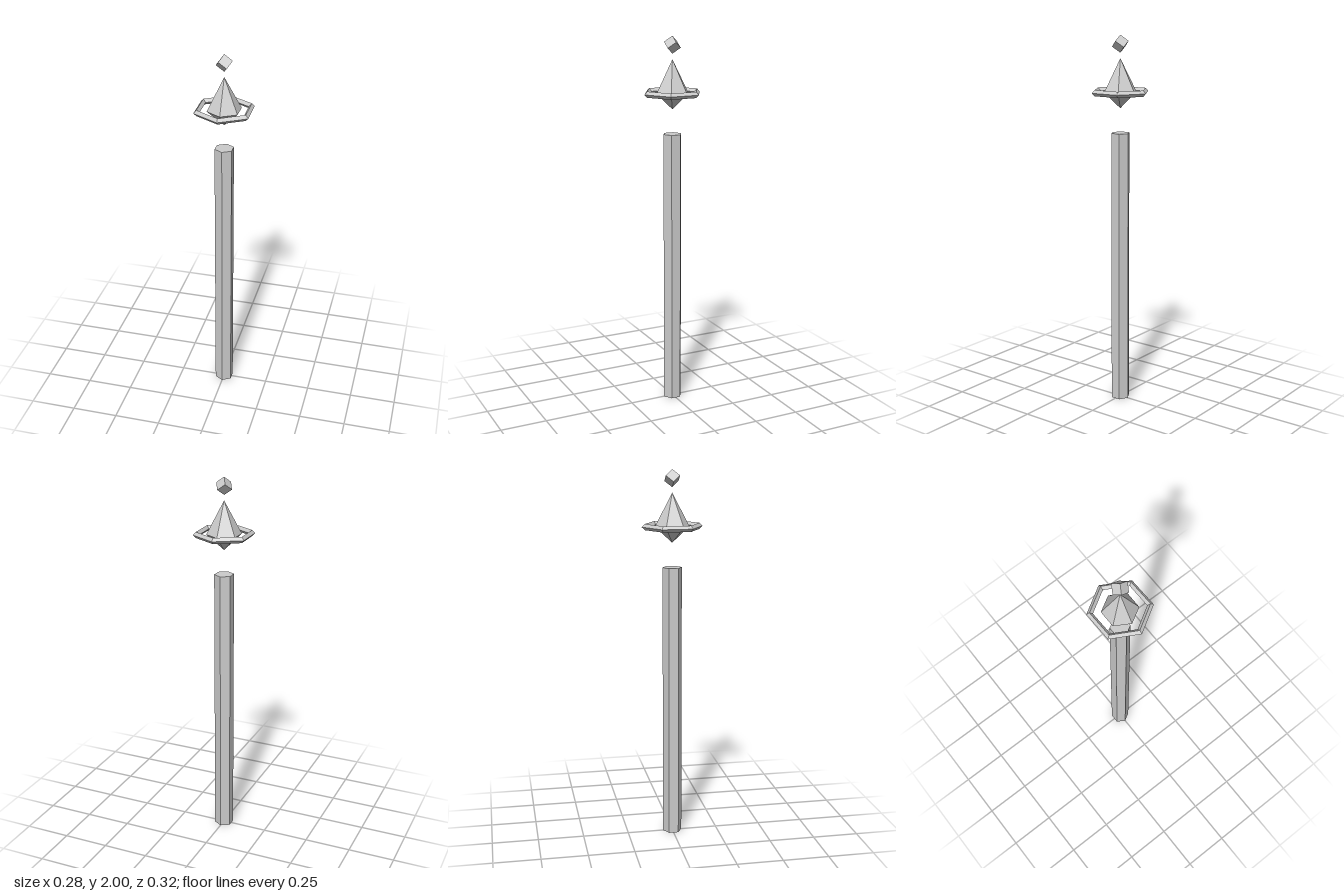
import * as THREE from 'three';

export function createModel() {
  const group = new THREE.Group();
  const material = new THREE.MeshStandardMaterial({ color: 0xcccccc, flatShading: true });

  const addPart = (name, geometry, y) => {
    const mesh = new THREE.Mesh(geometry, material);
    mesh.name = name;
    mesh.position.y = y;
    group.add(mesh);
  };

  // Hexagonal shaft
  addPart('shaft', new THREE.CylinderGeometry(0.052, 0.052, 1.49, 6), 0.745);

  // Floating six-sided crystal: short point below the waist, tall point above
  const profile = [[0, -0.085], [0.092, 0], [0, 0.175]].map(([r, y]) => new THREE.Vector2(r, y));
  addPart('crystal', new THREE.LatheGeometry(profile, 6), 1.705);

  // Hexagonal ring with a diamond cross-section, turned slightly
  const ring = new THREE.TorusGeometry(0.146, 0.016, 4, 6);
  ring.rotateZ(Math.PI / 2).rotateX(Math.PI / 2).rotateY(0.02);
  addPart('ring', ring, 1.705);

  // Small cube balanced on one corner
  const cube = new THREE.BoxGeometry(0.053, 0.053, 0.053);
  cube.rotateY(Math.PI / 4).rotateZ(Math.atan(Math.SQRT2));
  addPart('topCube', cube, 1.954);

  return group;
}
